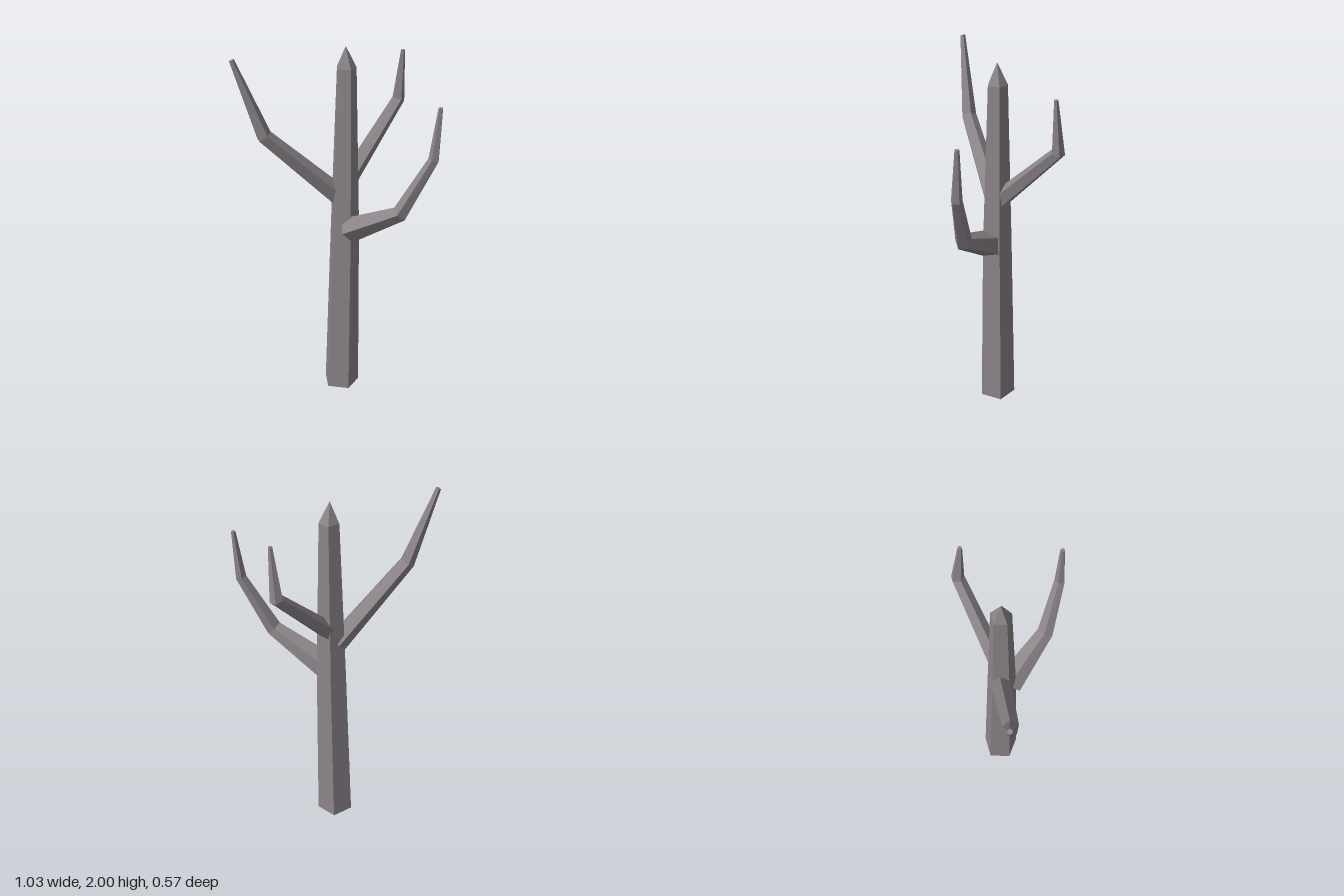
import * as THREE from 'three';

const SIDES = 5;
const STEP = (Math.PI * 2) / SIDES;
const bark = new THREE.MeshStandardMaterial({ color: 0x8c858a, flatShading: true, roughness: 1 });

// Closed skin over a list of five-cornered rings
function loft(rings, name) {
  const pos = rings.flat().flatMap((p) => [p.x, p.y, p.z]);
  const index = [];
  for (let i = 0; i < rings.length - 1; i++) {
    for (let j = 0; j < SIDES; j++) {
      const k = (j + 1) % SIDES;
      const a = i * SIDES + j, b = i * SIDES + k;
      index.push(a, b, b + SIDES, a, b + SIDES, a + SIDES);
    }
  }
  const last = (rings.length - 1) * SIDES;
  for (let j = 1; j < SIDES - 1; j++) {
    index.push(0, j + 1, j, last, last + j, last + j + 1);
  }
  const indexed = new THREE.BufferGeometry();
  indexed.setAttribute('position', new THREE.Float32BufferAttribute(pos, 3));
  indexed.setIndex(index);
  const geometry = indexed.toNonIndexed();
  geometry.computeVertexNormals();
  const mesh = new THREE.Mesh(geometry, bark);
  mesh.name = name;
  return mesh;
}

// Level rings given as [x, y, z, radius]
function makeTrunk(stations) {
  const rings = stations.map(([x, y, z, r]) =>
    Array.from({ length: SIDES }, (_, j) => {
      const a = Math.PI / 2 + j * STEP;
      return new THREE.Vector3(x + r * Math.sin(a), y, z + r * Math.cos(a));
    }));
  return loft(rings, 'trunk');
}

// Bent limb through [x, y, z, radius] stations, mitred at each elbow
function makeBranch(name, stations, twist = 0) {
  const pts = stations.map(([x, y, z]) => new THREE.Vector3(x, y, z));
  const dirs = pts.slice(1).map((p, i) => p.clone().sub(pts[i]).normalize());
  const side = new THREE.Vector3(-dirs[0].z, 0, dirs[0].x).normalize();
  const rings = pts.map((p, i) => {
    const before = dirs[Math.max(i - 1, 0)];
    const after = dirs[Math.min(i, dirs.length - 1)];
    const along = before.clone().add(after).normalize();
    const up = side.clone().cross(along).normalize();
    const across = along.clone().cross(up);
    return Array.from({ length: SIDES }, (_, j) => {
      const a = twist + j * STEP, r = stations[i][3];
      return p.clone().addScaledVector(up, r * Math.cos(a)).addScaledVector(across, r * Math.sin(a));
    });
  });
  return loft(rings, name);
}

export function createModel() {
  const tree = new THREE.Group();
  tree.name = 'bareTree';

  // Tapered trunk with a pointed top
  tree.add(makeTrunk([
    [0.055, 0, -0.035, 0.102],
    [0.067, 1.0, -0.025, 0.082],
    [0.073, 1.89, -0.025, 0.053],
    [0.07, 2.0, -0.025, 0],
  ]));

  // Three bent branches
  tree.add(makeBranch('rightBranch', [
    [0.04, 1.18, -0.035, 0.058],
    [-0.355, 1.565, 0.04, 0.042],
    [-0.502, 1.965, 0.04, 0.014],
  ]));
  tree.add(makeBranch('backLeftBranch', [
    [0.09, 1.27, -0.045, 0.05],
    [0.39, 1.64, -0.255, 0.035],
    [0.403, 1.915, -0.232, 0.011],
  ]));
  tree.add(makeBranch('frontLeftBranch', [
    [0.09, 1.005, 0.015, 0.075],
    [0.33, 1.17, 0.2, 0.045],
    [0.48, 1.48, 0.257, 0.029],
    [0.503, 1.752, 0.255, 0.012],
  ], Math.PI / 10));

  return tree;
}
